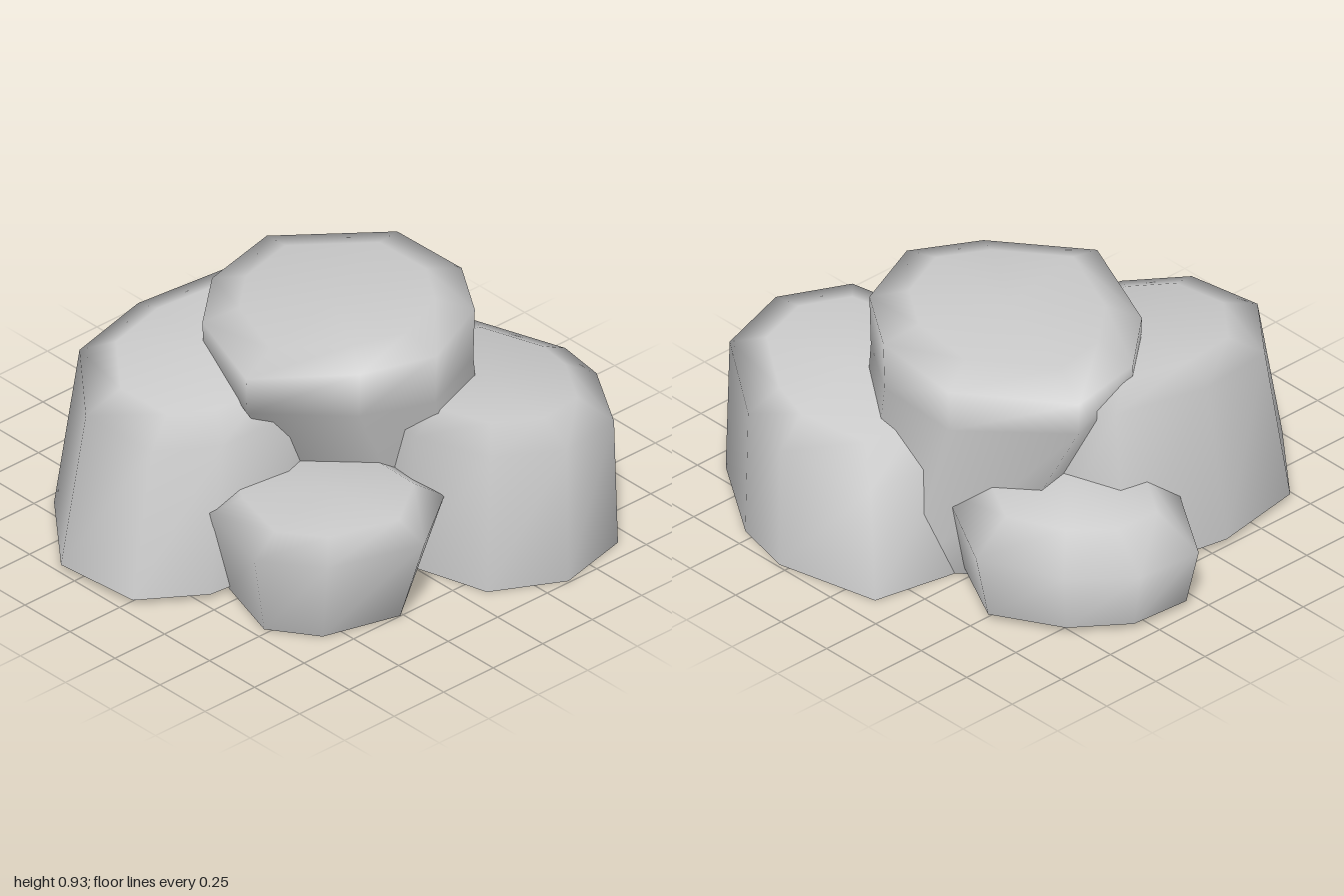
import * as THREE from 'three';

// Each stone: shoulder outline [x, z] (clockwise seen from above), its centre,
// tilted top plane y = a + b*x + c*z, shoulder drop, top inset, and the open foot ring.
const stones = [
  {
    name: 'topStone', centre: [0, -0.08], plane: [0.905, 0.07, -0.04], drop: 0.05, inset: 0.72,
    foot: { y: 0.005, scale: 0.62, shift: [0.08, -0.26] }, waist: 0.69,
    outline: [[0.54, -0.11], [0.42, 0.17], [0.12, 0.47], [-0.31, 0.30], [-0.52, 0.06],
      [-0.59, -0.28], [-0.24, -0.62], [0.14, -0.6], [0.4, -0.43]],
  },
  {
    name: 'frontLeftStone', centre: [-0.26, 0.33], plane: [0.735, -0.07, -0.07], drop: 0.055, inset: 0.71,
    foot: { y: 0.03, scale: 1.1, shift: [0, 0.065] },
    outline: [[0.18, 0.3], [0.15, 0.62], [0, 0.84], [-0.33, 0.87], [-0.64, 0.62],
      [-0.7, 0.27], [-0.63, -0.13], [-0.35, -0.26], [0.02, -0.14]],
  },
  {
    name: 'backLeftStone', centre: [-0.47, -0.22], plane: [0.45, 0.08, 0], drop: 0.11, inset: 0.68,
    foot: { y: 0.03, scale: 0.89, shift: [-0.01, 0] },
    outline: [[0.03, -0.15], [-0.1, 0.2], [-0.4, 0.32], [-0.69, 0.14], [-1, -0.05],
      [-0.98, -0.33], [-0.81, -0.56], [-0.51, -0.73], [-0.14, -0.54]],
  },
  {
    name: 'backRightStone', centre: [0.45, -0.47], plane: [0.6, 0.09, 0.09], drop: 0.07, inset: 0.7,
    foot: { y: 0.005, scale: 1.06, shift: [-0.03, -0.01] },
    outline: [[0.99, -0.36], [0.85, -0.1], [0.53, -0.01], [0.1, -0.1], [-0.14, -0.5],
      [-0.07, -0.86], [0.33, -0.95], [0.57, -0.89], [0.92, -0.66]],
  },
  {
    name: 'frontRightStone', centre: [0.4, 0.3], plane: [0.388, 0.05, 0.035], drop: 0.06, inset: 0.73,
    foot: { y: 0.01, scale: 0.8, shift: [-0.03, 0] },
    outline: [[0.88, 0.26], [0.77, 0.65], [0.54, 0.81], [0.16, 0.69],
      [-0.12, 0.5], [-0.1, 0.15], [0.25, -0.08], [0.65, -0.05]],
  },
];

// Stack rings from foot to top, then close the top with a fan.
function stoneGeometry({ outline, centre: [cx, cz], plane: [a, b, c], drop, inset, foot, waist }) {
  const n = outline.length;
  const top = (x, z) => a + b * x + c * z;
  const positions = [];
  const index = [];
  const addRing = (scale, [dx, dz], height) => {
    for (const [px, pz] of outline) {
      const x = cx + (px - cx) * scale + dx;
      const z = cz + (pz - cz) * scale + dz;
      positions.push(x, height(x, z), z);
    }
  };

  addRing(foot.scale, foot.shift, () => foot.y);
  if (waist) addRing(0.99, [0, 0], () => waist);
  addRing(1, [0, 0], (x, z) => top(x, z) - drop);
  addRing(inset, [0, 0], top);

  const rings = positions.length / 3 / n;
  const peak = rings * n;
  positions.push(cx, top(cx, cz) + 0.005, cz);

  for (let i = 0; i < n; i++) {
    const j = (i + 1) % n;
    for (let r = 0; r < rings - 1; r++) {
      const lo = r * n;
      const hi = lo + n;
      index.push(lo + j, lo + i, hi + i, lo + j, hi + i, hi + j);
    }
    index.push(peak, peak - n + j, peak - n + i);
  }

  const geometry = new THREE.BufferGeometry();
  geometry.setAttribute('position', new THREE.Float32BufferAttribute(positions, 3));
  geometry.setIndex(index);
  geometry.computeVertexNormals();
  return geometry;
}

export function createModel() {
  const group = new THREE.Group();
  group.name = 'rockPile';
  const material = new THREE.MeshStandardMaterial({ color: 0xcccccc, side: THREE.DoubleSide });
  for (const stone of stones) {
    const mesh = new THREE.Mesh(stoneGeometry(stone), material);
    mesh.name = stone.name;
    group.add(mesh);
  }
  return group;
}
